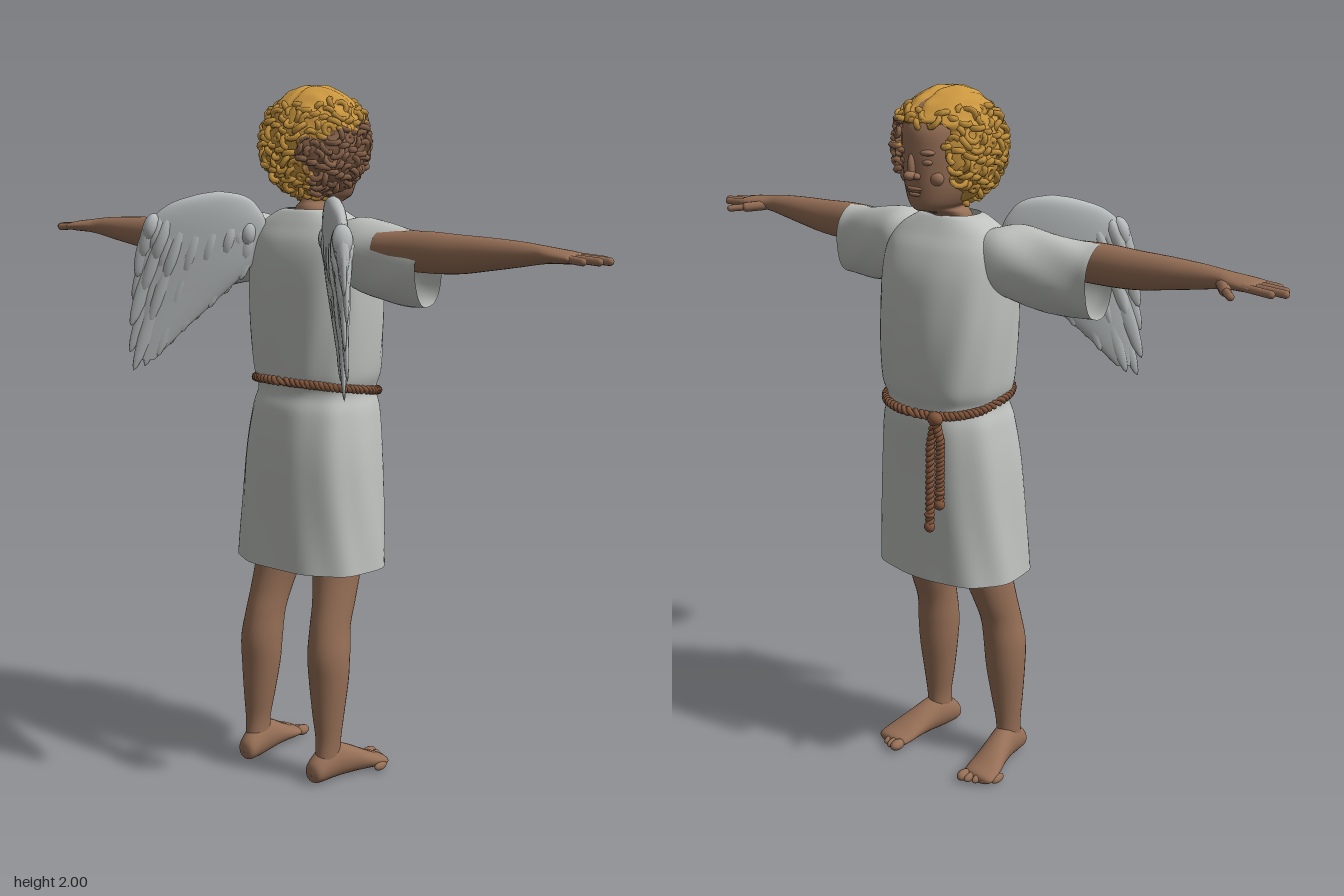
import * as THREE from 'three';
import { mergeGeometries } from 'three/addons/utils/BufferGeometryUtils.js';

const V = (x, y, z) => new THREE.Vector3(x, y, z);
const mat = (name, color, side = THREE.FrontSide) => {
  const m = new THREE.MeshStandardMaterial({ color, side });
  m.name = name;
  return m;
};
const bulge = (v, e) => Math.sign(v) * Math.abs(v) ** e;

// Smooth skin through elliptical rings [t, a, b, ra, rb] along an axis
function loft(axis, rings, { n = 28, seg = 40, e = 1, wob = () => 1 } = {}) {
  const c1 = new THREE.CatmullRomCurve3(rings.map(r => V(r[0], r[1], r[2])), false, 'catmullrom', 0.5);
  const c2 = new THREE.CatmullRomCurve3(rings.map(r => V(r[3], r[4], 0)), false, 'catmullrom', 0.5);
  const pos = [], idx = [];
  for (let i = 0; i <= seg; i++) {
    const p = c1.getPoint(i / seg), r = c2.getPoint(i / seg);
    for (let j = 0; j < n; j++) {
      const q = j / n * Math.PI * 2, w = wob(q, p.x);
      const u = r.x * bulge(Math.cos(q), e) * w, v = r.y * bulge(Math.sin(q), e) * w;
      if (axis === 'y') pos.push(p.y + u, p.x, p.z + v);
      else if (axis === 'x') pos.push(p.x, p.y + u, p.z - v);
      else pos.push(p.y + u, p.z - v, p.x);
      if (i < seg) {
        const a = i * n + j, b = i * n + (j + 1) % n;
        idx.push(a, a + n, b + n, a, b + n, b);
      }
    }
  }
  const g = new THREE.BufferGeometry();
  g.setAttribute('position', new THREE.Float32BufferAttribute(pos, 3));
  g.setIndex(idx);
  g.computeVertexNormals();
  return g;
}
const ell = (x, y, z, rx, ry, rz) => new THREE.SphereGeometry(1, 18, 12).scale(rx, ry, rz).translate(x, y, z);
function bone(a, b, r) {
  const d = b.clone().sub(a);
  const q = new THREE.Quaternion().setFromUnitVectors(V(0, 1, 0), d.clone().normalize());
  return new THREE.CapsuleGeometry(r, d.length(), 5, 10).applyQuaternion(q).translate(...a.clone().lerp(b, 0.5).toArray());
}
function merge(list) {
  list.forEach(g => g.deleteAttribute('uv'));
  return mergeGeometries(list);
}
function mirrored(geo) {
  const g = geo.clone().scale(-1, 1, 1), ix = g.index.array;
  for (let i = 0; i < ix.length; i += 3) [ix[i], ix[i + 1]] = [ix[i + 1], ix[i]];
  return g;
}
// Two twisted strands around a path given as f(t, cos, sin)
function rope(f, turns, closed) {
  return merge([0, Math.PI].map(ph => {
    const pts = [], n = turns * 8;
    for (let i = 0; i < (closed ? n : n + 1); i++) {
      const t = i / n, q = t * turns * Math.PI * 2 + ph;
      pts.push(f(t, Math.cos(q) * 0.0065, Math.sin(q) * 0.0065));
    }
    return new THREE.TubeGeometry(new THREE.CatmullRomCurve3(pts, closed), n, 0.0075, 6, closed);
  }));
}

function makeHair() {
  // Wavy cap, pushed back around the face, with a parting on top
  const cap = new THREE.SphereGeometry(1, 72, 54), p = cap.attributes.position;
  const inFace = (x, y, z) => Math.abs(x) < 0.085 && y < 1.905 && z > 0.1;
  for (let i = 0; i < p.count; i++) {
    const d = V().fromBufferAttribute(p, i);
    const k = 1 + 0.02 * Math.sin(d.y * 17 + 3 * Math.sin(d.x * 6)) * Math.sin(d.z * 11 + d.x * 7)
      - 0.05 * Math.exp(-((d.x / 0.06) ** 2)) * Math.max(0, d.y);
    const x = d.x * 0.15 * k, y = 1.838 + d.y * 0.158 * k;
    let z = 0.08 + d.z * 0.146 * k;
    if (inFace(x, y, z)) z = Math.min(z, 0.12);
    else if (y > 1.9 && z > 0.12) z += 0.25 * (z - 0.12);
    p.setXYZ(i, x, y, z);
  }
  cap.computeVertexNormals();
  // Ringlets scattered over the sides, back and fringe
  const list = [cap], N = 330;
  for (let i = 0; i < N; i++) {
    const y = 1 - 2 * (i + 0.5) / N, r = Math.sqrt(1 - y * y), q = i * 2.39996;
    const c = V(Math.cos(q) * r * 0.147, 1.835 + y * 0.15, 0.08 + Math.sin(q) * r * 0.143);
    if (y > 0.72 || inFace(c.x, c.y, c.z) || (y < -0.75 && c.z > 0.08)) continue;
    if (c.y > 1.9 && c.z > 0.12) c.z += 0.25 * (c.z - 0.12);
    const s = 0.013 + 0.005 * Math.sin(i * 12.9);
    list.push(new THREE.TorusGeometry(s, 0.0085, 5, 9).rotateX(i * 1.7).rotateY(i * 2.3).translate(c.x, c.y, c.z));
  }
  const g = merge(list), pos = g.attributes.position, src = g.index.array, parts = [[], []];
  for (let i = 0; i < src.length; i += 3) {
    const t = [src[i], src[i + 1], src[i + 2]];
    const [x, y, z] = ['getX', 'getY', 'getZ'].map(f => t.reduce((s, k) => s + pos[f](k) / 3, 0));
    parts[x < -0.06 + 0.015 * Math.sin(y * 60) && y < 1.89 + 0.25 * (z - 0.1) + 0.01 * Math.sin(z * 70) ? 1 : 0].push(...t);
  }
  g.setIndex([...parts[0], ...parts[1]]);
  g.addGroup(0, parts[0].length, 0);
  g.addGroup(parts[0].length, parts[1].length, 1);
  return g;
}

function makeWing() {
  const list = [loft('y', [[1.22, 0.32, 0, 0.02, 0.004], [1.3, 0.28, 0, 0.06, 0.01], [1.4, 0.22, 0, 0.11, 0.017],
    [1.5, 0.17, 0, 0.16, 0.024], [1.6, 0.145, 0, 0.17, 0.028], [1.66, 0.13, 0, 0.13, 0.026],
    [1.69, 0.11, 0, 0.07, 0.018], [1.702, 0.11, 0, 0.002, 0.002]])];
  // Three overlapping rows of feathers, shorter and thicker towards the top
  const tips = new THREE.CatmullRomCurve3([V(0.345, 1.46, 0), V(0.365, 1.32, 0), V(0.36, 1.19, 0), V(0.29, 1.23, 0),
    V(0.22, 1.3, 0), V(0.14, 1.37, 0), V(0.05, 1.45, 0)]);
  [1, 0.72, 0.45].forEach((len, row) => {
    for (let i = 0; i < 13; i++) {
      const t = i / 12, root = V(0.29 - 0.27 * t, 1.64 - 0.02 * t, 0);
      const d = tips.getPoint(t).sub(root).multiplyScalar(len);
      list.push(new THREE.SphereGeometry(1, 10, 10).scale(0.024, d.length() / 2, 0.01 + row * 0.009)
        .rotateZ(Math.atan2(d.y, d.x) - Math.PI / 2)
        .translate(root.x + d.x / 2, root.y + d.y / 2, (i % 2) * 0.006 - 0.003));
    }
  });
  return merge(list).rotateY(0.75).translate(0.13, 0, -0.02);
}

export function createModel() {
  const skin = mat('skin', 0x966f56), cloth = mat('cloth', 0xbfc2be, THREE.DoubleSide);
  const white = mat('feather', 0xb8bcbc), gold = mat('gold hair', 0xca963f);
  const brown = mat('brown hair', 0x8c664c), cord = mat('cord', 0x84573d);
  const body = new THREE.Group();
  const add = (name, geo, m) => {
    const mesh = new THREE.Mesh(geo, m);
    mesh.name = name;
    body.add(mesh);
  };
  const pair = (name, geo, m) => {
    add(name + 'Left', geo, m);
    add(name + 'Right', mirrored(geo), m);
  };

  // Head and neck with facial relief
  const face = [loft('y', [[1.57, 0, 0.07, 0.078, 0.06], [1.65, 0, 0.075, 0.058, 0.055], [1.675, 0, 0.115, 0.045, 0.085],
    [1.69, 0, 0.125, 0.062, 0.095], [1.73, 0, 0.115, 0.082, 0.113], [1.78, 0, 0.105, 0.092, 0.128],
    [1.84, 0, 0.1, 0.098, 0.136], [1.9, 0, 0.1, 0.093, 0.13], [1.96, 0, 0.1, 0.05, 0.08], [1.97, 0, 0.1, 0.002, 0.002]]),
  ell(0, 1.795, 0.233, 0.011, 0.035, 0.014), ell(0, 1.773, 0.24, 0.016, 0.013, 0.02),
  ell(0, 1.737, 0.222, 0.027, 0.007, 0.012), ell(0, 1.722, 0.219, 0.022, 0.007, 0.012), ell(0, 1.692, 0.2, 0.026, 0.018, 0.018)];
  for (const s of [-1, 1]) face.push(ell(s * 0.016, 1.771, 0.231, 0.01, 0.009, 0.012), ell(s * 0.036, 1.808, 0.216, 0.019, 0.009, 0.012),
    ell(s * 0.037, 1.833, 0.216, 0.026, 0.009, 0.016), ell(s * 0.048, 1.765, 0.193, 0.024, 0.022, 0.02));
  add('head', merge(face), skin);
  add('mouthLine', ell(0, 1.7295, 0.2265, 0.026, 0.0025, 0.006), brown);
  add('hair', makeHair(), [gold, brown]);

  // Tunic with soft folds, open at the hem
  const folds = (q, y) => 1 + 0.014 * Math.sin(q * 9 + 2 * Math.sin(y * 5)) * Math.min(1, Math.abs(y - 1.14) * 8 + 0.6)
    * THREE.MathUtils.smoothstep(1.62 - y, 0, 0.25);
  add('tunic', loft('y', [[0.63, 0, 0.068, 0.23, 0.166], [0.75, 0, 0.07, 0.222, 0.163], [0.95, 0, 0.075, 0.205, 0.162],
    [1.08, 0, 0.085, 0.185, 0.158], [1.14, 0, 0.09, 0.17, 0.147], [1.2, 0, 0.092, 0.186, 0.156], [1.35, 0, 0.09, 0.198, 0.157],
    [1.48, 0, 0.083, 0.2, 0.146], [1.56, 0, 0.075, 0.195, 0.124], [1.61, 0, 0.07, 0.165, 0.095],
    [1.645, 0, 0.068, 0.11, 0.072], [1.655, 0, 0.068, 0.078, 0.062]], { n: 72, seg: 70, e: 0.82, wob: folds }), cloth);
  pair('sleeve', loft('x', [[0.13, 1.545, 0.06, 0.08, 0.085], [0.2, 1.54, 0.048, 0.1, 0.098], [0.3, 1.522, 0.028, 0.105, 0.083],
    [0.4, 1.513, 0.012, 0.102, 0.068], [0.45, 1.512, 0.01, 0.1, 0.062]],
  { n: 40, wob: (q, x) => 1 + 0.02 * Math.sin(q * 5 + x * 30) }), cloth);

  // Rope belt with two hanging tails
  add('belt', rope((t, c, s) => {
    const a = t * Math.PI * 2, x = bulge(Math.cos(a), 0.82), z = bulge(Math.sin(a), 0.82);
    return V(x * (0.175 + c), 1.15 - 0.025 * z + s, 0.09 + z * (0.153 + c));
  }, 36, true), cord);
  const tails = [ell(0.09, 1.125, 0.25, 0.024, 0.02, 0.018)];
  for (const [x, end] of [[0.073, 0.81], [0.11, 0.885]]) {
    tails.push(rope((t, c, s) => V(0.09 + (x - 0.09) * Math.min(1, t * 4) + c, 1.125 + (end - 1.125) * t, 0.25 + 0.006 * t + s), 10, false));
    tails.push(ell(x, end, 0.257, 0.016, 0.017, 0.015), ell(x, end + 0.035, 0.257, 0.015, 0.01, 0.014));
  }
  add('ropeTails', merge(tails), cord);

  // Arms, palms, fingers and thumbs
  const arm = [loft('x', [[0.3, 1.56, 0, 0.05, 0.05], [0.45, 1.56, -0.005, 0.055, 0.049], [0.56, 1.56, -0.006, 0.051, 0.045],
    [0.66, 1.566, -0.008, 0.042, 0.041], [0.75, 1.571, -0.01, 0.032, 0.034], [0.8, 1.573, -0.01, 0.025, 0.032],
    [0.84, 1.573, -0.009, 0.02, 0.042], [0.89, 1.571, -0.01, 0.016, 0.048], [0.912, 1.57, -0.01, 0.011, 0.045], [0.918, 1.57, -0.01, 0.001, 0.002]])];
  [[0.03, 0.965], [0.005, 0.99], [-0.021, 0.976], [-0.046, 0.945]].forEach(([z, tip]) =>
    arm.push(bone(V(0.89, 1.571, z * 0.9), V(tip, 1.566, z), 0.0105)));
  arm.push(bone(V(0.82, 1.567, 0.015), V(0.855, 1.563, 0.055), 0.015), bone(V(0.855, 1.563, 0.055), V(0.89, 1.56, 0.09), 0.0105));
  pair('arm', merge(arm), skin);

  // Legs
  pair('leg', loft('y', [[0.05, 0.137, -0.022, 0.032, 0.044], [0.12, 0.138, -0.018, 0.034, 0.042], [0.2, 0.135, -0.015, 0.045, 0.05],
    [0.3, 0.132, -0.01, 0.057, 0.06], [0.38, 0.13, -0.008, 0.06, 0.066], [0.46, 0.125, 0.004, 0.056, 0.065],
    [0.53, 0.12, 0.026, 0.058, 0.07], [0.62, 0.11, 0.05, 0.066, 0.078], [0.75, 0.1, 0.065, 0.075, 0.085]]), skin);

  // Bare feet with five toes
  const foot = [loft('z', [[-0.09, 0.132, 0.03, 0.002, 0.002], [-0.08, 0.132, 0.034, 0.028, 0.03], [-0.04, 0.135, 0.048, 0.037, 0.048],
    [0, 0.14, 0.054, 0.04, 0.054], [0.05, 0.15, 0.045, 0.043, 0.045], [0.1, 0.161, 0.032, 0.05, 0.032],
    [0.14, 0.168, 0.022, 0.054, 0.022], [0.17, 0.171, 0.016, 0.046, 0.016], [0.18, 0.171, 0.016, 0.002, 0.002]])];
  [0, 1, 2, 3, 4].forEach(i => foot.push(ell(0.134 + i * 0.021, 0.016 - i * 0.001, 0.183 - i * i * 0.0028 - 0.002 * i,
    i ? 0.011 : 0.017, i ? 0.013 : 0.016, 0.026)));
  pair('foot', merge(foot), skin);

  pair('wing', makeWing(), white);

  // The figure looks towards +x
  body.name = 'wingedChild';
  body.rotation.y = Math.PI / 2;
  const group = new THREE.Group();
  group.name = 'figure';
  group.add(body);
  return group;
}
